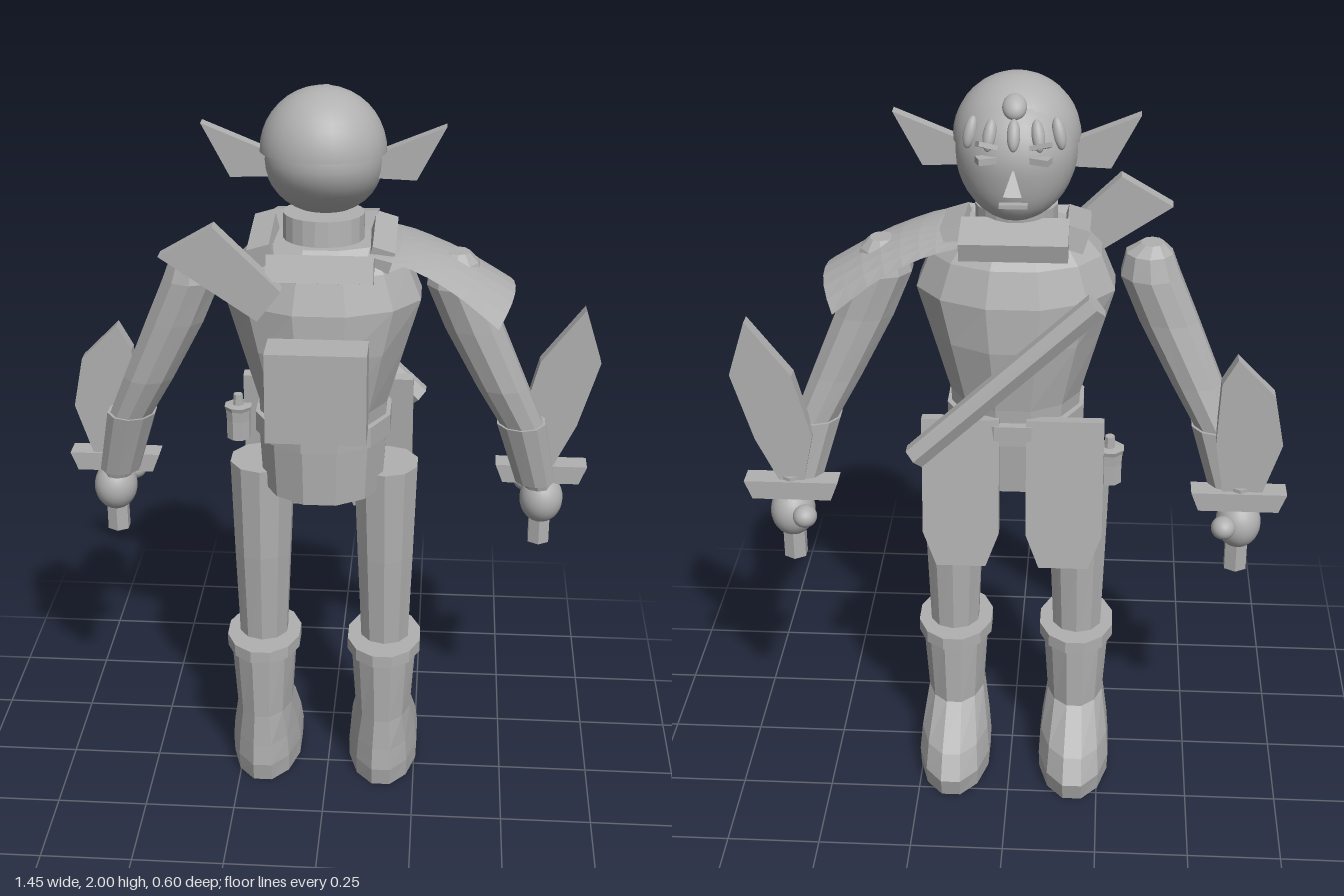
import * as THREE from 'three';

const grey = new THREE.MeshStandardMaterial({ color: 0xb0b0b0 });
grey.name = 'plain grey';
grey.side = THREE.DoubleSide;

// Faceted normals
function flat(geo) {
  const g = geo.index ? geo.toNonIndexed() : geo;
  g.computeVertexNormals();
  return g;
}

// Closed body through elliptical sections [y, centreX, centreZ, radiusX, radiusZ], listed bottom to top
function loft(sections, n = 12) {
  const pos = [], idx = [];
  for (const [y, cx, cz, rx, rz] of sections) {
    for (let j = 0; j < n; j++) {
      const a = ((j + 0.5) / n) * Math.PI * 2;
      pos.push(cx + rx * Math.cos(a), y, cz + rz * Math.sin(a));
    }
  }
  const top = sections.length - 1, c = sections.length * n;
  for (const s of [sections[0], sections[top]]) pos.push(s[1], s[0], s[2]);
  for (let j = 0; j < n; j++) {
    const k = (j + 1) % n;
    for (let i = 0; i < top; i++) {
      const a = i * n + j, b = i * n + k;
      idx.push(a, a + n, b, b, a + n, b + n);
    }
    idx.push(c, j, k, c + 1, top * n + k, top * n + j);
  }
  const g = new THREE.BufferGeometry();
  g.setAttribute('position', new THREE.Float32BufferAttribute(pos, 3));
  g.setIndex(idx);
  return flat(g);
}

// Flat plate with its outline in x,y and its thickness centred on z = 0
function plate(points, depth) {
  const shape = new THREE.Shape(points.map(([x, y]) => new THREE.Vector2(x, y)));
  return new THREE.ExtrudeGeometry(shape, { depth, bevelEnabled: false }).translate(0, 0, -depth / 2);
}

export function createModel() {
  const model = new THREE.Group();
  const body = new THREE.Group();
  body.name = 'body';
  body.position.x = -0.012;
  model.add(body);

  const add = (name, geo, p = [0, 0, 0], r = [0, 0, 0], s = [1, 1, 1]) => {
    const m = new THREE.Mesh(geo, grey);
    m.name = name;
    m.position.set(...p);
    m.rotation.set(...r);
    m.scale.set(...s);
    body.add(m);
    return m;
  };
  const box = (w, h, d) => new THREE.BoxGeometry(w, h, d);
  const ball = new THREE.SphereGeometry(1, 24, 16);

  // Torso, hips and belt
  add('torso', loft([
    [1.08, 0, -0.012, 0.17, 0.175], [1.17, 0, -0.012, 0.175, 0.18], [1.34, 0, -0.01, 0.225, 0.205],
    [1.46, 0, -0.01, 0.262, 0.2], [1.55, 0, -0.01, 0.225, 0.17], [1.61, 0, -0.01, 0.17, 0.125],
  ]));
  add('hips', loft([[0.925, 0, 0, 0.165, 0.175], [1.09, 0, -0.005, 0.175, 0.185]]));
  add('belt', loft([[1.08, 0, -0.012, 0.185, 0.203], [1.135, 0, -0.012, 0.185, 0.203]]));

  // Head and cap
  const skull = new THREE.SphereGeometry(1, 28, 20);
  const v = skull.attributes.position;
  for (let i = 0; i < v.count; i++) {
    const y = v.getY(i), low = Math.max(0, -y);
    v.setZ(i, v.getZ(i) * (1 - 0.1 * low) - 0.35 * low * low);
  }
  skull.computeVertexNormals();
  add('head', skull, [0, 1.815, -0.02], [0, 0, 0], [0.152, 0.16, 0.158]);
  add('cap', new THREE.SphereGeometry(0.16, 28, 10, 0, Math.PI * 2, 0, Math.PI / 2),
    [0, 1.84, 0.01], [-0.05, 0, 0]);
  add('neck', loft([[1.57, 0, 0, 0.105, 0.095], [1.675, 0, -0.01, 0.105, 0.095]], 20));

  // Hair tufts over the forehead
  for (let i = -2; i <= 2; i++) {
    const a = i * 0.4;
    add('hairTuft', ball, [Math.sin(a) * 0.15, 1.895 - Math.abs(i) * 0.004, -0.005 - Math.cos(a) * 0.155],
      [0.5, -a, i * 0.15], [0.016, 0.04, 0.016]);
  }
  add('forelock', ball, [0, 1.95, -0.11], [0.8, 0, 0], [0.03, 0.035, 0.022]);

  // Face
  for (const s of [-1, 1]) {
    add('eye', box(0.06, 0.016, 0.03), [s * 0.06, 1.835, -0.163], [0, s * 0.38, 0]);
    add('brow', box(0.06, 0.012, 0.03), [s * 0.06, 1.866, -0.156], [0.3, s * 0.38, s * 0.2]);
  }
  add('nose', flat(new THREE.ConeGeometry(0.032, 0.07, 4)), [0, 1.785, -0.185], [0.35, Math.PI / 4, 0]);
  add('mouth', box(0.07, 0.01, 0.02), [0, 1.722, -0.172]);

  // Scarf segments
  add('scarfFront', box(0.27, 0.05, 0.12), [0, 1.618, -0.13], [-0.25, 0, 0]);
  add('scarfBack', box(0.27, 0.07, 0.05), [0, 1.568, 0.135], [-0.35, 0, 0]);
  for (const s of [-1, 1]) add('scarfSide', box(0.06, 0.06, 0.22), [s * 0.15, 1.6, 0], [0.12, 0, -s * 0.3]);

  // Shoulder mantle: a curved sheet falling over the left shoulder
  const mantle = new THREE.PlaneGeometry(1, 1, 8, 8);
  const fall = new THREE.CatmullRomCurve3([[0.12, 1.605], [0.23, 1.6], [0.36, 1.56], [0.495, 1.485]]
    .map(([x, y]) => new THREE.Vector3(x, y, 0)));
  const mp = mantle.attributes.position;
  for (let i = 0; i < mp.count; i++) {
    const u = mp.getX(i) + 0.5, w = mp.getY(i) * 2, p = fall.getPoint(u);
    mp.setXYZ(i, p.x - 0.045 * u * w * w, p.y - 0.045 * u * w * w, -0.01 - w * (0.145 + 0.055 * u));
  }
  add('shoulderMantle', flat(mantle));

  // Shoulder plate, backpack and carried rod
  add('shoulderPlate', plate([[-0.263, 1.69], [-0.4, 1.61], [-0.155, 1.445], [-0.095, 1.525]], 0.045), [0, 0, 0.165]);
  add('backpack', box(0.255, 0.24, 0.11), [0, 1.285, 0.252]);
  add('rod', flat(new THREE.CylinderGeometry(0.034, 0.034, 0.63, 6)), [0.02, 1.283, -0.25], [0, 0, 0.815]);

  // Hip flask
  add('hipFlask', loft([
    [0.965, -0.25, -0.163, 0.034, 0.034], [1.02, -0.25, -0.163, 0.034, 0.034],
    [1.05, -0.25, -0.163, 0.036, 0.036], [1.062, -0.25, -0.163, 0.04, 0.04],
    [1.064, -0.25, -0.163, 0.015, 0.015], [1.095, -0.25, -0.163, 0.013, 0.013],
  ], 8));

  for (const s of [-1, 1]) {
    // Ear
    add('ear', plate([[0.1, 1.835], [0.16, 1.845], [0.307, 1.905], [0.235, 1.768], [0.13, 1.772]]
      .map(([x, y]) => [x * s, y]), 0.038));

    // Arm, cuff and hand
    add('arm', loft([
      [0.87, s * 0.585, -0.105, 0.04, 0.042], [1.08, s * 0.53, -0.055, 0.06, 0.066],
      [1.2, s * 0.472, -0.035, 0.07, 0.072], [1.37, s * 0.393, -0.02, 0.08, 0.075],
      [1.49, s * 0.343, -0.015, 0.08, 0.08], [1.55, s * 0.338, -0.015, 0.062, 0.065],
      [1.575, s * 0.345, -0.015, 0.03, 0.035],
    ], 10));
    add('cuff', loft([[0.895, s * 0.575, -0.09, 0.056, 0.058], [1.085, s * 0.528, -0.055, 0.068, 0.074]], 10));
    add('hand', ball, [s * 0.597, 0.825, -0.12], [0, 0, 0], [0.06, 0.07, 0.066]);
    add('thumb', ball, [s * 0.553, 0.845, -0.19], [0, 0, 0], [0.032, 0.03, 0.035]);

    // Blade grip and guard
    add('grip', flat(new THREE.CylinderGeometry(0.033, 0.033, 0.25, 6)), [s * 0.595, 0.815, -0.125]);
    add('guard', plate([[-0.125, 0.025], [-0.105, -0.027], [0.105, -0.027], [0.125, 0.025]], 0.063),
      [s * 0.592, 0.905, -0.13]);

    // Front flap
    add('frontFlap', plate([[0.035, 0.1], [0.035, -0.22], [0.07, -0.315], [0.2, -0.315], [0.235, -0.22], [0.235, 0.1]]
      .map(([x, y]) => [x * s, y]), 0.035), [0, 1.05, -0.195], [0.1, 0, 0]);

    // Leg
    add('leg', loft([
      [0.38, s * 0.172, -0.02, 0.067, 0.068], [0.7, s * 0.17, -0.018, 0.08, 0.088],
      [0.97, s * 0.168, -0.02, 0.09, 0.098],
    ], 10));

    // Boot with a toe that reaches forward
    add('boot', loft([
      [0, 0.1, 0.115, -0.285], [0.055, 0.102, 0.125, -0.3], [0.12, 0.096, 0.12, -0.26],
      [0.215, 0.08, 0.115, -0.14], [0.41, 0.093, 0.122, -0.142],
    ].map(([y, rx, back, front]) => [y, s * 0.17, (back + front) / 2, rx, (back - front) / 2])));
    add('bootCuff', loft([[0.4, s * 0.17, -0.012, 0.105, 0.138], [0.435, s * 0.17, -0.012, 0.105, 0.138]]));
  }

  // Leaf-shaped blades
  add('rightBlade', plate([
    [-0.57, 1.31], [-0.67, 1.21], [-0.698, 1.07], [-0.65, 0.92], [-0.55, 0.92], [-0.525, 1.07], [-0.532, 1.24],
  ], 0.04), [0, 0, -0.127]);
  add('leftBlade', plate([
    [0.689, 1.385], [0.737, 1.235], [0.682, 1.05], [0.62, 0.92], [0.56, 0.92], [0.53, 1.06], [0.575, 1.235],
  ], 0.04), [0, 0, -0.127]);

  return model;
}
